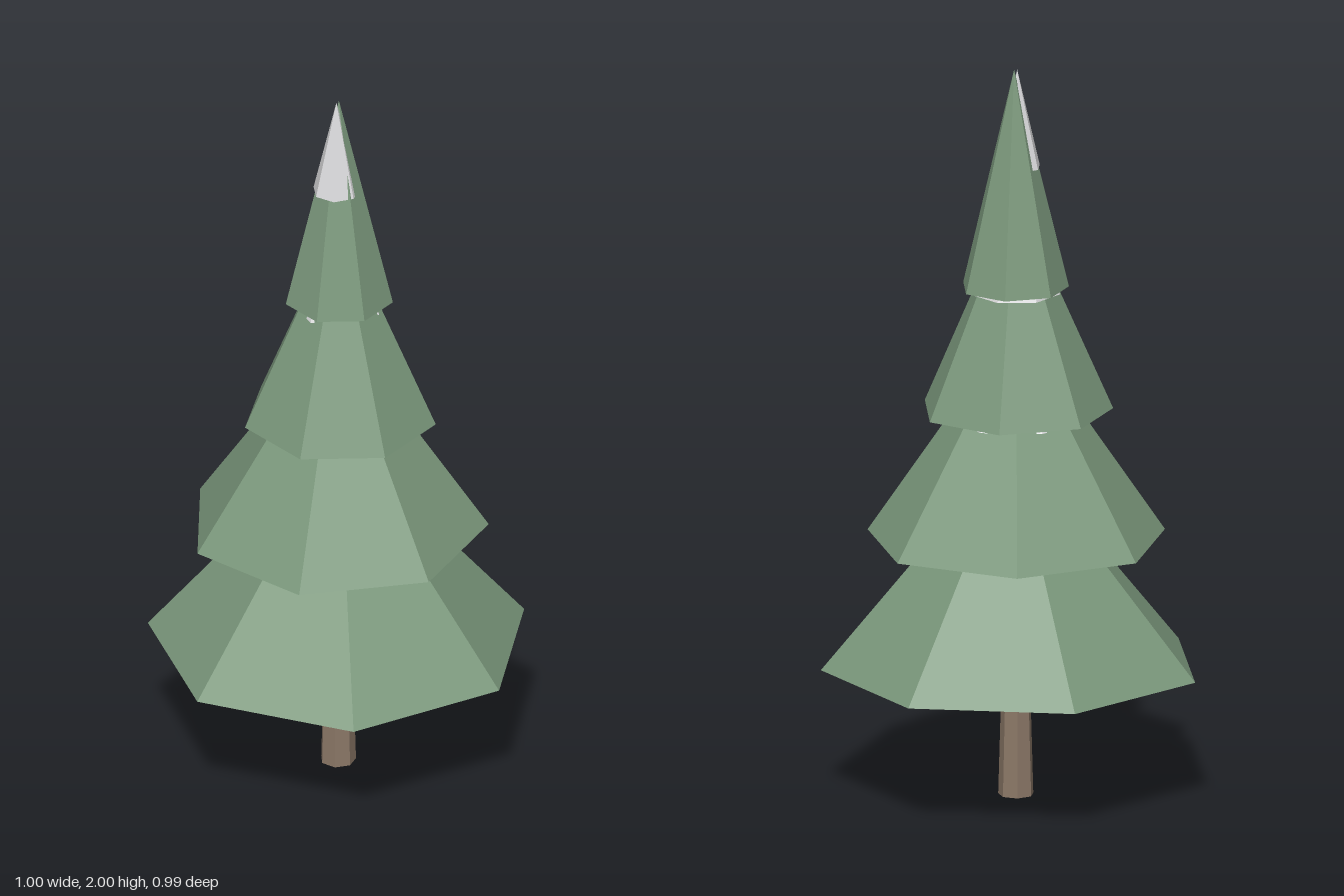
import * as THREE from 'three';

const SIDES = 7;

export function createModel() {
  const tree = new THREE.Group();
  tree.name = 'pineTree';

  const paint = (name, color) => {
    const m = new THREE.MeshStandardMaterial({ color, flatShading: true });
    m.name = name;
    return m;
  };
  const needles = paint('needleGreen', 0x7b987c);
  const bark = paint('barkBrown', 0x8b7867);
  const snow = paint('snowWhite', 0xdcdcde);

  // Seven-sided cone or tapered post; turn is the angle of its first corner from the front
  function taper(name, material, rTop, rBase, yBase, yTop, x, z, turn) {
    const geo = new THREE.CylinderGeometry(rTop, rBase, yTop - yBase, SIDES, 1, false, turn);
    const mesh = new THREE.Mesh(geo, material);
    mesh.position.set(x, (yBase + yTop) / 2, z);
    mesh.name = name;
    tree.add(mesh);
  }

  // Trunk
  taper('trunk', bark, 0.036, 0.048, 0, 0.42, -0.001, -0.002, -0.2);

  // Foliage tiers, each slightly off-centre and turned: radius, base, apex, x, z, turn
  const tiers = [
    [0.514, 0.36, 0.97, 0.003, -0.022, 0.04],
    [0.405, 0.71, 1.31, -0.005, -0.021, -0.28],
    [0.26, 1.055, 1.65, 0.003, 0.011, Math.PI],
    [0.146, 1.4, 2.0, 0.002, -0.016, Math.PI],
  ];
  tiers.forEach(([r, base, apex, x, z, turn], i) =>
    taper(`foliageTier${i + 1}`, needles, 0, r, base, apex, x, z, turn));

  // Snow caps on the tier tips: radius, base, apex, x, z, turn
  const caps = [
    [0.235, 0.69, 0.97, 0, -0.01, 0.3],
    [0.188, 1.04, 1.31, 0, -0.005, 0.1],
    [0.12, 1.383, 1.65, 0, -0.003, 0.2],
    [0.064, 1.73, 1.998, -0.005, -0.008, -0.14],
  ];
  caps.forEach(([r, base, apex, x, z, turn], i) =>
    taper(`snowCap${i + 1}`, snow, 0, r, base, apex, x, z, turn));

  return tree;
}
